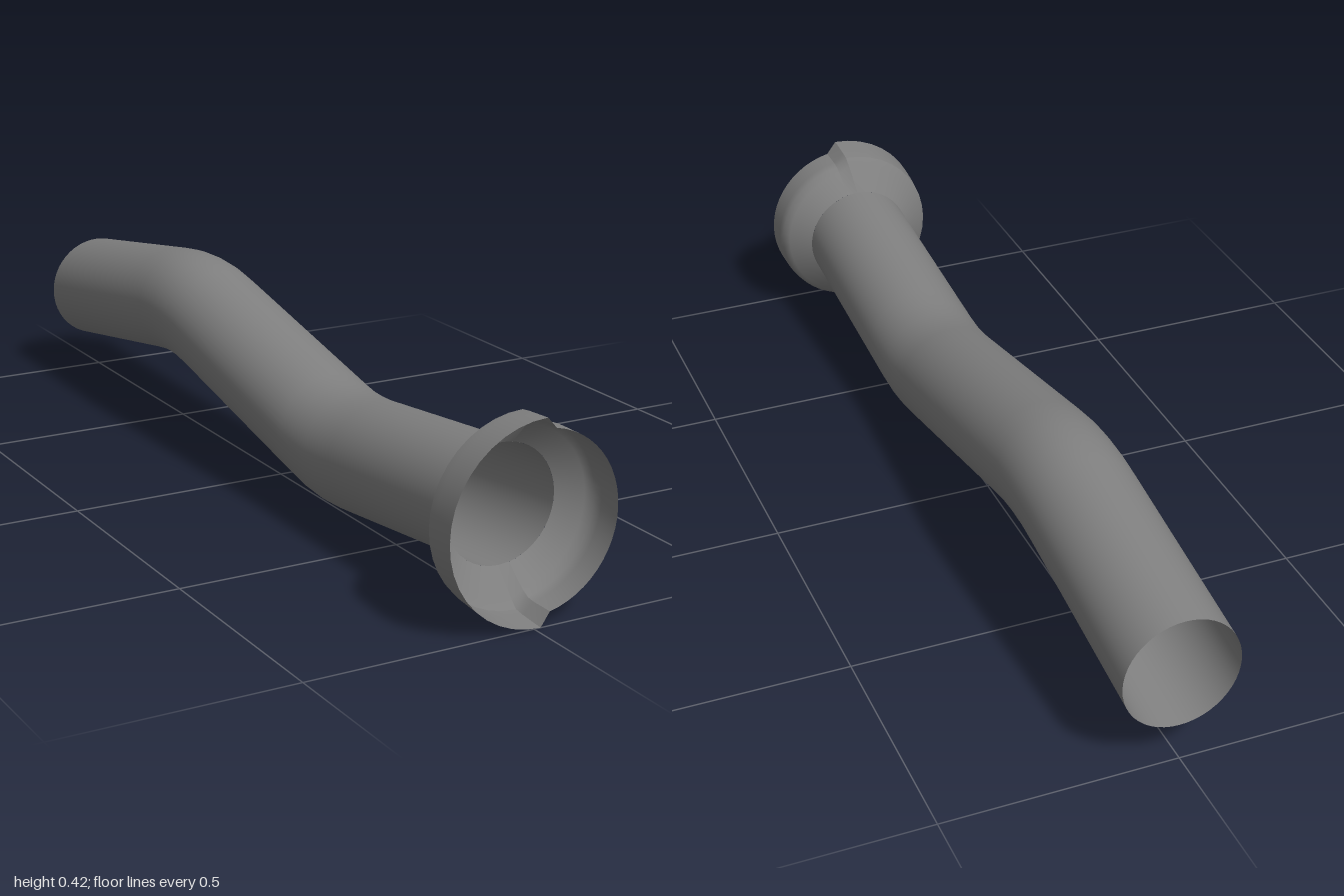
import * as THREE from 'three';

const CX = 0.003, CY = 0.21, R = 0.125;

// Surface through rows of points (rows run front to back or back to front)
function loft(rows, closed = false, flip = false) {
  const n = rows[0].length, cols = closed ? n : n - 1, index = [];
  for (let i = 0; i < rows.length - 1; i++) {
    for (let j = 0; j < cols; j++) {
      const k = (j + 1) % n;
      const a = i * n + j, b = i * n + k, c = a + n, d = b - k + k + n;
      if (flip) index.push(a, b, c, b, d, c);
      else index.push(a, c, b, b, c, d);
    }
  }
  const g = new THREE.BufferGeometry();
  g.setAttribute('position', new THREE.Float32BufferAttribute(rows.flat(2), 3));
  g.setIndex(index);
  g.computeVertexNormals();
  return g;
}

// Arc of points in a plane of constant z, counter-clockwise from the front
function arc(cx, cy, r, z, from, to, segments, withEnd = true) {
  const pts = [];
  for (let i = 0; i < segments + (withEnd ? 1 : 0); i++) {
    const a = from + (to - from) * i / segments;
    pts.push([cx + r * Math.cos(a), cy + r * Math.sin(a), z]);
  }
  return pts;
}

export function createModel() {
  const group = new THREE.Group();
  group.name = 'bentPipe';
  const metal = new THREE.MeshStandardMaterial({ color: 0x808080, side: THREE.DoubleSide });
  metal.name = 'grey metal';
  const add = (name, geometry) => {
    const mesh = new THREE.Mesh(geometry, metal);
    mesh.name = name;
    group.add(mesh);
  };

  // Pipe: [z, centre height] along two soft bends, ends cut upright
  const path = [
    [0.87, 0.21], [0.42, 0.164], [0.37, 0.159], [0.32, 0.157], [0.27, 0.161], [0.22, 0.17],
    [-0.3, 0.28], [-0.36, 0.291], [-0.42, 0.295], [-0.48, 0.293], [-0.54, 0.285], [-1, 0.21],
  ];
  add('pipe', loft(path.map(([z, y]) => arc(CX, y, R, z, 0, Math.PI * 2, 48, false)), true));

  // Flared collar: the wide half sits on -x, the narrow half on +x
  const wide = [[0.87, 0.125, 0.003], [0.905, 0.185, 0.012], [0.917, 0.202, 0.015],
    [0.94, 0.205, 0.015], [1, 0.209, 0.015]];
  const narrow = [[0.87, 0.125], [0.905, 0.172], [0.92, 0.184], [0.94, 0.187], [0.993, 0.187]];
  const edge = 1.372;
  const wideRows = wide.map(([z, r, x]) => arc(x, CY, r, z, Math.PI / 2, Math.PI * 1.5, 20));
  const narrowRows = narrow.map(([z, r]) => arc(CX, CY, r, z, -edge, edge, 24));
  add('wideCollarCone', loft(wideRows.slice(0, 3), false, true));
  add('wideCollarLip', loft(wideRows.slice(2), false, true));
  add('narrowCollar', loft(narrowRows, false, true));

  // Small steps joining the two halves at top and bottom
  add('topStep', loft(wideRows.map((w, i) => [narrowRows[i].at(-1), w[0]]), false, true));
  add('bottomStep', loft(wideRows.map((w, i) => [w.at(-1), narrowRows[i][0]]), false, true));

  return group;
}
